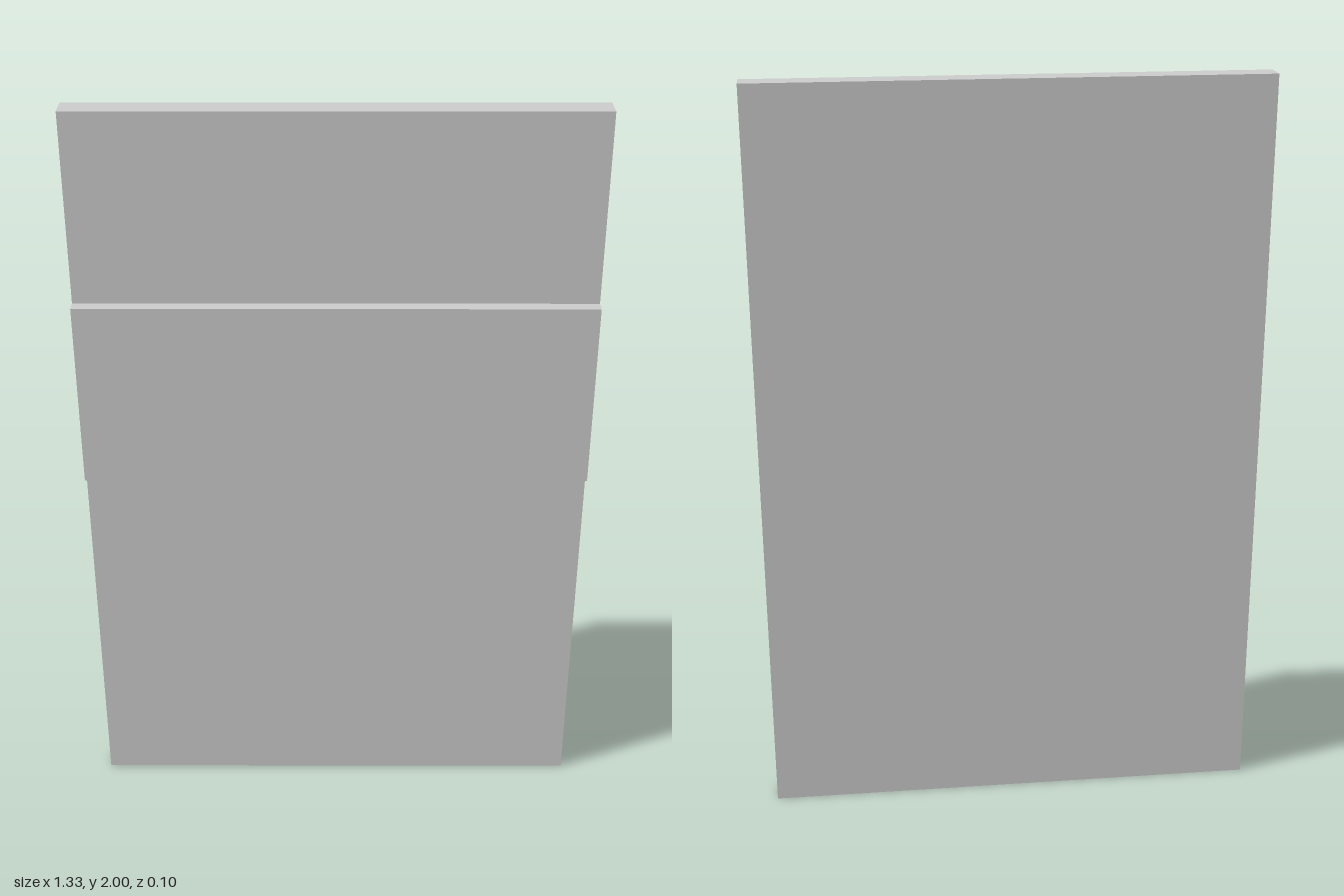
import * as THREE from 'three';

const WIDTH = 1.333;

export function createModel() {
  const model = new THREE.Group();
  model.name = 'panelWithBand';
  const material = new THREE.MeshStandardMaterial({ color: 0xcccccc });

  // Full-width slab spanning the given y and z ranges
  const addSlab = (name, y0, y1, z0, z1) => {
    const mesh = new THREE.Mesh(new THREE.BoxGeometry(WIDTH, y1 - y0, z1 - z0), material);
    mesh.position.set(0, (y0 + y1) / 2, (z0 + z1) / 2);
    mesh.name = name;
    model.add(mesh);
  };

  // Upright panel
  addSlab('panel', 0, 2, -0.05, 0.0167);
  // Raised horizontal band on the front
  addSlab('frontBand', 1, 1.5, 0.0167, 0.05);

  return model;
}
